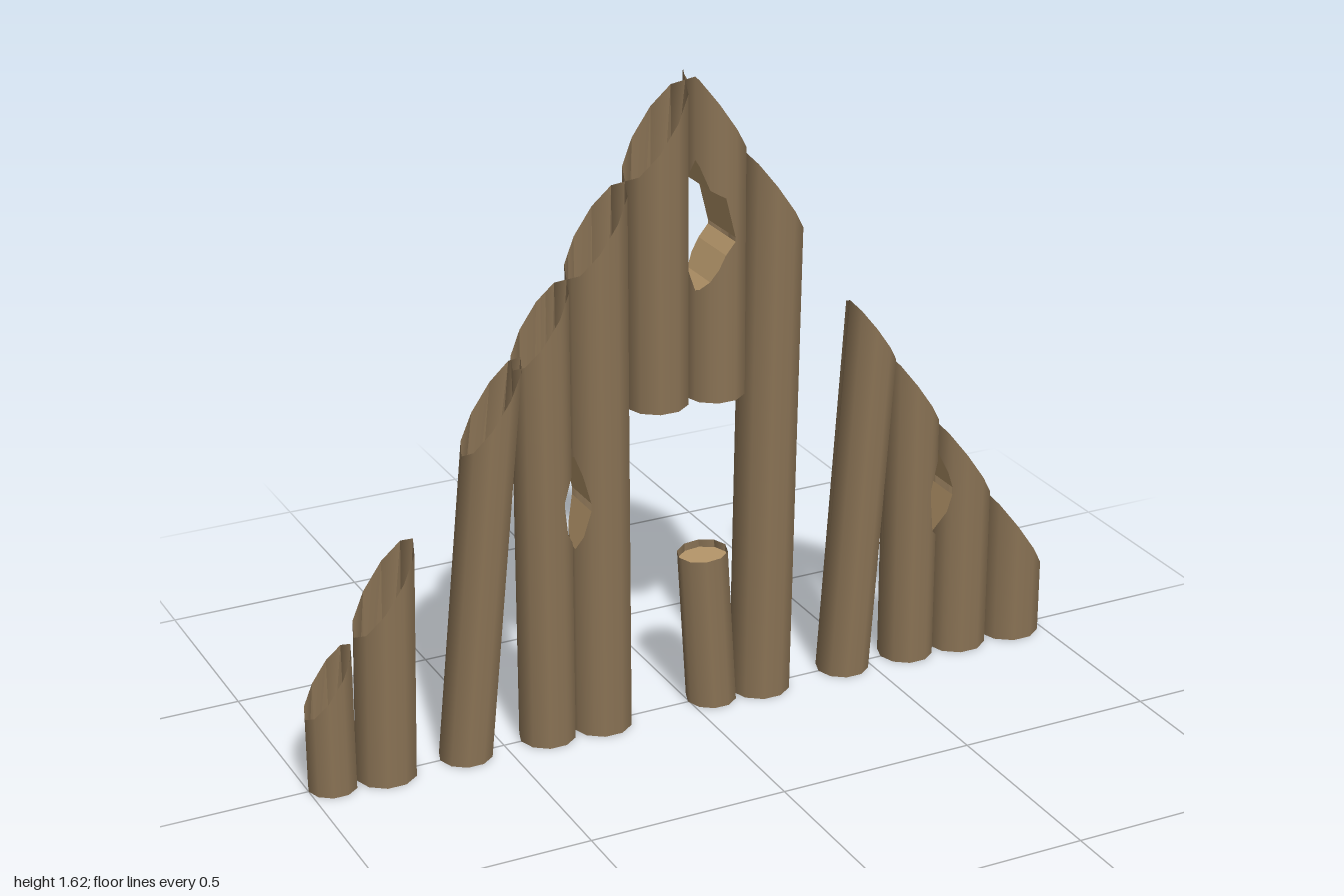
import * as THREE from 'three';

const SIDES = 10;
const bark = new THREE.MeshStandardMaterial({ color: 0x8a7355, side: THREE.DoubleSide });
bark.name = 'weathered bark';
const cutWood = new THREE.MeshStandardMaterial({ color: 0xb5966a, side: THREE.DoubleSide });
cutWood.name = 'cut wood';

// Gable line that trims the log tops: height where a leaning line (start u, lean k) meets it
const gable = (u, k) => {
  const s = u < 0 ? -1.43 : 1.45;
  return (1.62 - s * u) / (1 + s * k);
};

// Ragged holes as [x, lower y, upper y]
const lowLeftHole = [[-0.355, 0.62, 0.64], [-0.345, 0.55, 0.66], [-0.31, 0.49, 0.73], [-0.285, 0.6, 0.62]];
const peakHole = [[-0.025, 1.25, 1.27], [0, 1.1, 1.42], [0.025, 1.125, 1.35], [0.06, 1.19, 1.33], [0.085, 1.22, 1.23]];
const lowRightHole = [[0.642, 0.44, 0.47], [0.655, 0.35, 0.5], [0.685, 0.32, 0.56], [0.71, 0.44, 0.46]];

// Linear interpolation in a list of rows sorted by their first entry
function sample(rows, x) {
  for (let i = 0; i < rows.length - 1; i++) {
    const a = rows[i], b = rows[i + 1];
    if (x >= a[0] - 1e-9 && x <= b[0] + 1e-9) {
      const t = (x - a[0]) / (b[0] - a[0]);
      return a.map((v, j) => v + (b[j] - v) * t);
    }
  }
  return null;
}

function buildGeometry(positions, normals) {
  const g = new THREE.BufferGeometry();
  g.setAttribute('position', new THREE.Float32BufferAttribute(positions, 3));
  if (normals) g.setAttribute('normal', new THREE.Float32BufferAttribute(normals, 3));
  else g.computeVertexNormals();
  return g;
}

// Hollow log made of vertical strips, trimmed at the top and pierced by an optional hole
function makeLog({ name, x, r, lean = 0, base = 0, hole, top, cap }) {
  const group = new THREE.Group();
  group.name = name;
  const outline = [];
  for (let i = SIDES / 2; i >= 0; i--) {
    const a = (i / SIDES) * Math.PI * 2;
    outline.push([x + r * Math.cos(a), r * Math.sin(a)]);
  }
  const topAt = (u) => (top ? top + 0.08 * (u - x) : gable(u, lean));

  // Strip borders: log corners, the ridge and the hole corners
  const extra = [0, ...(hole ? hole.map((p) => p[0]) : [])].filter((u) => u > x - r && u < x + r);
  const xs = [...outline.map((p) => p[0]), ...extra].sort((a, b) => a - b)
    .filter((u, i, all) => i === 0 || u - all[i - 1] > 1e-5);
  const depth = (u) => (sample(outline, u) ?? [u, 0])[1];
  const normalAt = (u, side) => {
    const c = Math.max(-1, Math.min(1, (u - x) / r));
    return [c, 0, side * Math.sqrt(1 - c * c)];
  };

  const pos = [], nor = [], rim = [];
  const wall = (u0, u1, lo0, lo1, hi0, hi1) => {
    for (const side of [1, -1]) {
      const pt = (u, y) => [u + lean * y, y, side * depth(u)];
      const a = pt(u0, lo0), b = pt(u1, lo1), c = pt(u1, hi1), d = pt(u0, hi0);
      const n0 = normalAt(u0, side), n1 = normalAt(u1, side);
      if (side > 0) {
        pos.push(...a, ...b, ...c, ...a, ...c, ...d);
        nor.push(...n0, ...n1, ...n1, ...n0, ...n1, ...n0);
      } else {
        pos.push(...a, ...c, ...b, ...a, ...d, ...c);
        nor.push(...n0, ...n1, ...n1, ...n0, ...n1, ...n0);
      }
    }
  };
  // Ledge running through the log from front to back
  const ledge = (u0, u1, y0, y1, up) => {
    const z0 = depth(u0), z1 = depth(u1);
    const p = [[u0 + lean * y0, y0, z0], [u1 + lean * y1, y1, z1],
      [u1 + lean * y1, y1, -z1], [u0 + lean * y0, y0, -z0]];
    for (const i of up ? [0, 1, 2, 0, 2, 3] : [0, 2, 1, 0, 3, 2]) rim.push(...p[i]);
  };

  for (let i = 0; i < xs.length - 1; i++) {
    const u0 = xs[i], u1 = xs[i + 1];
    const t0 = topAt(u0), t1 = topAt(u1);
    const h0 = hole && sample(hole, u0), h1 = hole && sample(hole, u1);
    if (h0 && h1) {
      wall(u0, u1, base, base, h0[1], h1[1]);
      wall(u0, u1, h0[2], h1[2], t0, t1);
      ledge(u0, u1, h0[1], h1[1], true);
      ledge(u0, u1, h0[2], h1[2], false);
    } else {
      wall(u0, u1, base, base, t0, t1);
    }
    if (cap === 'bottom') ledge(u0, u1, base, base, false);
    if (cap === 'top') ledge(u0, u1, t0 - 0.02, t1 - 0.02, true);
  }

  const shell = new THREE.Mesh(buildGeometry(pos, nor), bark);
  shell.name = name + 'Bark';
  group.add(shell);
  if (rim.length) {
    const cut = new THREE.Mesh(buildGeometry(rim), cutWood);
    cut.name = name + 'CutFaces';
    group.add(cut);
  }
  return group;
}

export function createModel() {
  const model = new THREE.Group();
  model.name = 'brokenLogWall';
  const logs = [
    // right-hand half of the wall
    { name: 'outerRightLog', x: -0.94, r: 0.06 },
    { name: 'secondRightLog', x: -0.805, r: 0.075, lean: 0.025 },
    { name: 'leaningRightLog', x: -0.6, r: 0.066, lean: 0.1 },
    { name: 'piercedRightLog', x: -0.385, r: 0.07, hole: lowLeftHole },
    { name: 'rightDoorLog', x: -0.24, r: 0.075, hole: lowLeftHole },
    // logs over the doorway
    { name: 'rightPeakLog', x: -0.0875, r: 0.0775, base: 0.82, hole: peakHole, cap: 'bottom' },
    { name: 'leftPeakLog', x: 0.065, r: 0.075, base: 0.82, hole: peakHole, cap: 'bottom' },
    // broken stump in the doorway
    { name: 'doorStump', x: 0.06, r: 0.063, lean: -0.06, top: 0.405, cap: 'top' },
    // left-hand half of the wall
    { name: 'leftDoorLog', x: 0.195, r: 0.076, lean: 0.018 },
    { name: 'leaningLeftLog', x: 0.432, r: 0.067, lean: 0.07 },
    { name: 'piercedLeftLog', x: 0.615, r: 0.07, hole: lowRightHole },
    { name: 'secondLeftLog', x: 0.7625, r: 0.0775, hole: lowRightHole },
    { name: 'outerLeftLog', x: 0.92, r: 0.08 },
  ];
  for (const log of logs) model.add(makeLog(log));
  return model;
}
